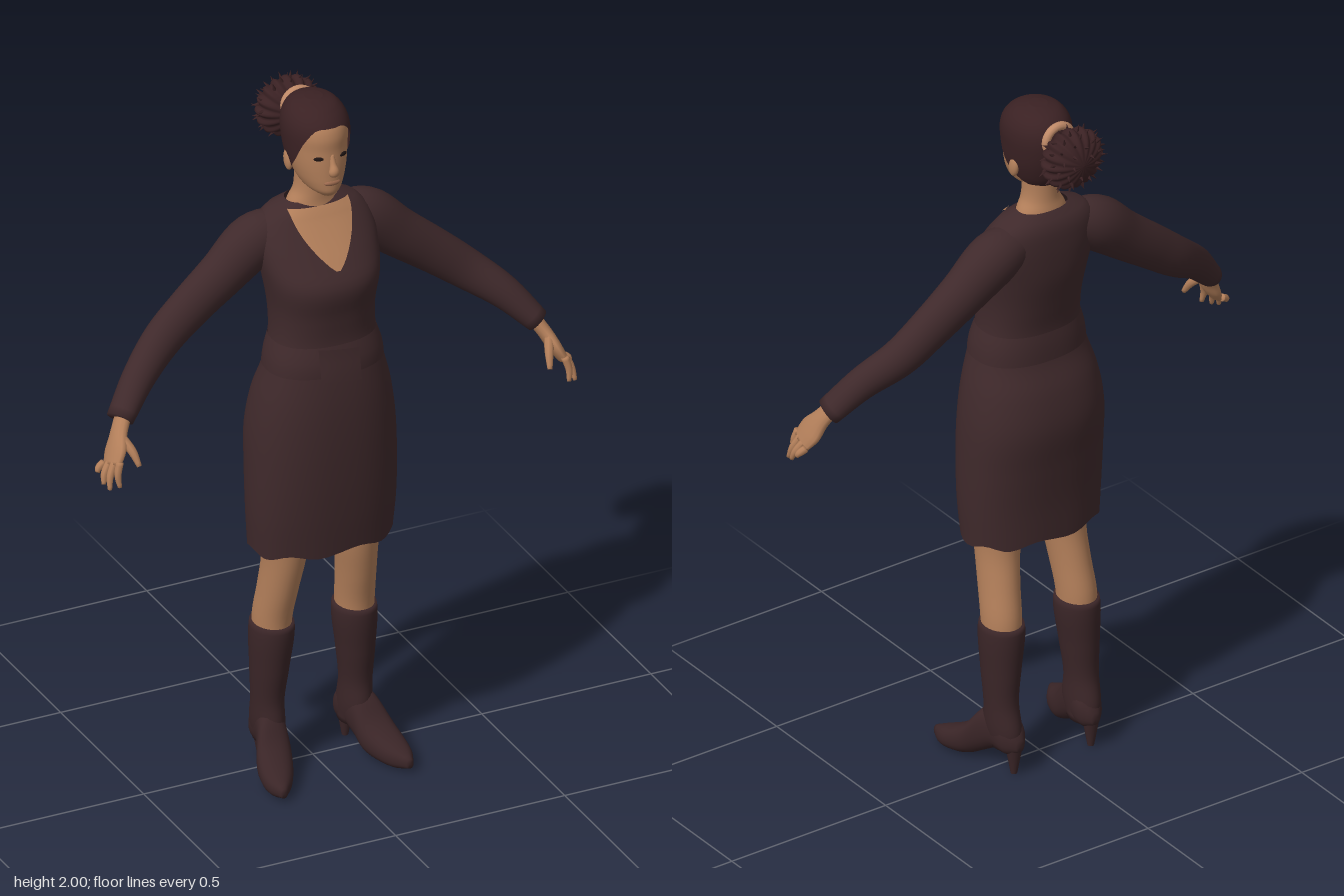
import * as THREE from 'three';

const mat = (name, color, side = THREE.FrontSide) => {
  const m = new THREE.MeshStandardMaterial({ color, side });
  m.name = name;
  return m;
};

// Surface from a point rule f(v, u); u wraps when closed
function grid(rows, cols, f, closed = true) {
  const pos = [], idx = [], n = closed ? cols : cols + 1;
  for (let i = 0; i <= rows; i++)
    for (let j = 0; j < n; j++) pos.push(...f(i / rows, j / cols, i));
  for (let i = 0; i < rows; i++)
    for (let j = 0; j < cols; j++) {
      const k = (j + 1) % n, a = i * n + j, b = i * n + k, c = b + n, d = a + n;
      idx.push(a, b, c, a, c, d);
    }
  const g = new THREE.BufferGeometry();
  g.setAttribute('position', new THREE.Float32BufferAttribute(pos, 3));
  g.setIndex(idx);
  g.computeVertexNormals();
  return g;
}

// Smooth oval column: rows of [y, centre x, half width, front z, back z]
function oval(table, p = 1) {
  const spline = new THREE.CubicInterpolant(
    table.map(r => r[0]), new Float32Array(table.flatMap(r => r.slice(1))), 4);
  const pw = s => Math.sign(s) * Math.abs(s) ** p;
  const at = (y, a, off = 0) => {
    const [cx, hw, zf, zb] = spline.evaluate(y);
    return [cx + (hw + off) * pw(Math.sin(a)), y, (zf + zb) / 2 + ((zf - zb) / 2 + off) * pw(Math.cos(a))];
  };
  // point on the front at a given x
  at.front = (x, y, off) => {
    const s = Math.min(1, Math.abs(x / spline.evaluate(y)[1]));
    return at(y, Math.sign(x) * Math.asin(s ** (1 / p)), off);
  };
  at.centre = y => {
    const [cx, , zf, zb] = spline.evaluate(y);
    return [cx, y, (zf + zb) / 2];
  };
  at.y0 = table[0][0];
  at.y1 = table[table.length - 1][0];
  return at;
}

// Column with closed ends
const column = (at, rows = 24, cols = 28) => grid(rows + 2, cols, (v, u, i) => {
  const t = THREE.MathUtils.clamp((i - 1) / rows, 0, 1), y = THREE.MathUtils.lerp(at.y0, at.y1, t);
  return i === 0 || i === rows + 2 ? at.centre(y) : at(y, u * Math.PI * 2);
});

// Limb along a path: rows of [x, y, z, radius toward z, other radius]
function limb(rows, side = 1, n = 16, cols = 14) {
  const path = new THREE.CatmullRomCurve3(rows.map(r => new THREE.Vector3(r[0] * side, r[1], r[2])), false, 'catmullrom');
  const size = new THREE.CatmullRomCurve3(rows.map(r => new THREE.Vector3(r[3], r[4], 0)), false, 'catmullrom');
  return grid(n + 2, cols, (v, u, i) => {
    const t = THREE.MathUtils.clamp((i - 1) / n, 0, 1), p = path.getPoint(t), r = size.getPoint(t);
    if (i === 0 || i === n + 2) return p.toArray();
    const T = path.getTangent(t), N = new THREE.Vector3(0, 0, 1).addScaledVector(T, -T.z).normalize();
    const B = new THREE.Vector3().crossVectors(T, N), a = u * Math.PI * 2;
    return p.addScaledVector(N, r.x * Math.cos(a)).addScaledVector(B, r.y * Math.sin(a)).toArray();
  });
}

export function createModel() {
  const model = new THREE.Group();
  const cloth = mat('dark brown cloth', 0x3f292b, THREE.DoubleSide);
  const leather = mat('boot leather', 0x3a2527, THREE.DoubleSide);
  const hairMat = mat('dark hair', 0x3a2123, THREE.DoubleSide);
  const skin = mat('skin', 0xb37f5a);
  const lipMat = mat('lips', 0xa06c50);
  const eyeMat = mat('dark eyes', 0x1f1413);
  const tieMat = mat('hair tie', 0xc08a68);
  const add = (name, geo, m) => {
    const mesh = new THREE.Mesh(geo, m);
    mesh.name = name;
    model.add(mesh);
    return mesh;
  };
  const ball = (name, m, p, s) => {
    const b = add(name, new THREE.SphereGeometry(1, 16, 12), m);
    b.position.set(...p);
    b.scale.set(...s);
    return b;
  };

  // Dress with a slightly wavy open hem
  const body = oval([
    [0.69, 0, 0.203, 0.165, -0.078], [0.8, 0, 0.21, 0.177, -0.083], [0.92, 0, 0.211, 0.186, -0.095],
    [1.05, 0, 0.206, 0.19, -0.108], [1.15, 0, 0.19, 0.187, -0.092], [1.24, 0, 0.165, 0.177, -0.06],
    [1.32, 0, 0.147, 0.163, -0.055], [1.4, 0, 0.145, 0.168, -0.068], [1.5, 0, 0.16, 0.178, -0.088],
    [1.55, 0, 0.168, 0.145, -0.092], [1.61, 0, 0.168, 0.1, -0.092], [1.66, 0, 0.145, 0.064, -0.085],
    [1.685, 0, 0.108, 0.048, -0.07], [1.695, 0, 0.075, 0.036, -0.058]], 0.87);
  add('dress', grid(56, 48, (v, u) => {
    const a = u * Math.PI * 2, p = body(body.y0 + (body.y1 - body.y0) * v, a);
    p[1] += 0.007 * Math.sin(7 * a) * (1 - v) ** 12;
    return p;
  }), cloth);
  add('waistBand', grid(4, 48, (v, u) => body(1.235 + 0.085 * v, u * Math.PI * 2, 0.001 + 0.005 * Math.sin(Math.PI * v))), cloth);
  add('waistFlap', grid(5, 8, (v, u) => body.front(-0.06 + 0.11 * u, 1.215 + 0.09 * v + 0.015 * (1 - u), 0.011), false), cloth);

  // Skin in the V neckline, laid on the dress front
  add('neckline', grid(12, 14, (v, u) => {
    const w = 0.006 + 0.08 * Math.sin(v * Math.PI / 2) ** 0.85;
    return body.front((u * 2 - 1) * w, 1.54 + 0.147 * v, 0.005);
  }, false), skin);
  add('neck', column(oval([
    [1.63, 0, 0.085, 0.06, -0.065], [1.69, 0, 0.07, 0.046, -0.058],
    [1.72, 0, 0.054, 0.045, -0.052], [1.8, 0, 0.049, 0.045, -0.05]])), skin);

  // Head
  const head = oval([
    [1.745, 0, 0.022, 0.108, 0.04], [1.757, 0, 0.042, 0.12, -0.02], [1.78, 0, 0.058, 0.124, -0.052],
    [1.81, 0, 0.069, 0.124, -0.068], [1.84, 0, 0.076, 0.123, -0.08], [1.88, 0, 0.081, 0.12, -0.089],
    [1.92, 0, 0.083, 0.119, -0.092], [1.95, 0, 0.077, 0.107, -0.086], [1.975, 0, 0.061, 0.081, -0.068],
    [1.988, 0, 0.042, 0.054, -0.044], [1.994, 0, 0.018, 0.025, -0.015]]);
  add('head', column(head, 40, 36), skin);
  add('nose', limb([
    [0, 1.872, 0.113, 0.008, 0.007], [0, 1.847, 0.123, 0.01, 0.009],
    [0, 1.827, 0.13, 0.014, 0.015], [0, 1.815, 0.12, 0.008, 0.011]]), skin);
  ball('lips', lipMat, [0, 1.79, 0.118], [0.024, 0.009, 0.009]);
  for (const s of [1, -1]) {
    ball('eye', eyeMat, head.front(0.036 * s, 1.864, 0), [0.014, 0.006, 0.004]).rotation.y = 0.4 * s;
    ball('ear', skin, [0.077 * s, 1.825, 0.008], [0.011, 0.03, 0.018]).rotation.x = -0.2;
  }

  // Hair cap, its lower edge following the hairline from brow to nape
  const hairline = new THREE.CubicInterpolant([0, 0.55, 0.85, 1.15, 1.4, 1.75, 2.2, 3.15],
    new Float32Array([1.95, 1.943, 1.91, 1.86, 1.83, 1.8, 1.775, 1.77]), 1);
  add('hair', grid(25, 48, (v, u, i) => {
    if (i === 25) return [0, 2, 0.005];
    const t = i / 24, a = u * Math.PI * 2, low = hairline.evaluate(Math.min(a, Math.PI * 2 - a))[0];
    const p = head(low + (1.994 - low) * Math.sin(t * Math.PI / 2), a, 0.006);
    p[1] += 0.005 * t;
    return p;
  }), hairMat);

  // Bun of ridged strands with loose tips
  const tie = add('hairTie', new THREE.TorusGeometry(0.04, 0.012, 10, 28), tieMat);
  tie.position.set(0, 1.93, -0.088);
  add('bun', grid(16, 96, (v, u) => {
    const a = u * Math.PI * 2, t = v * Math.PI, r = Math.sin(t) * (1 + 0.07 * Math.cos(16 * a));
    return [-0.005 + 0.088 * r * Math.sin(a), 1.897 + 0.083 * r * Math.cos(a), -0.142 - 0.056 * Math.cos(Math.PI - t)];
  }), hairMat);
  const up = new THREE.Vector3(0, 1, 0);
  for (let i = 0; i < 54; i++) {
    const c = 0.35 - 1.3 * (i + 0.5) / 54, a = i * 2.4, r = Math.sqrt(1 - c * c);
    const d = new THREE.Vector3(r * Math.sin(a), r * Math.cos(a), c);
    const tip = add('strandTip', new THREE.ConeGeometry(0.01, 0.04, 5), hairMat);
    tip.position.set(-0.005 + 0.086 * d.x, 1.897 + 0.08 * d.y, -0.142 + 0.055 * d.z);
    d.x += 0.35 * Math.sin(i * 5.1);
    d.y += 0.35 * Math.cos(i * 3.7);
    tip.quaternion.setFromUnitVectors(up, d.normalize());
  }

  const tips = [[0.664, 1.063, 0.192], [0.688, 1.055, 0.18], [0.695, 1.062, 0.157], [0.699, 1.085, 0.128]];
  for (const s of [1, -1]) {
    // Sleeve
    add('sleeve', limb([
      [0.08, 1.615, -0.018, 0.055, 0.055], [0.165, 1.585, -0.022, 0.068, 0.076], [0.26, 1.51, -0.017, 0.058, 0.068],
      [0.36, 1.435, -0.01, 0.05, 0.062], [0.45, 1.365, 0.005, 0.047, 0.056], [0.54, 1.295, 0.05, 0.043, 0.046],
      [0.617, 1.212, 0.096, 0.042, 0.034]], s, 32, 22), cloth);

    // Hand: palm, four fingers and thumb
    add('palm', limb([
      [0.6, 1.23, 0.088, 0.026, 0.02], [0.628, 1.185, 0.113, 0.03, 0.019],
      [0.648, 1.145, 0.134, 0.043, 0.018], [0.667, 1.11, 0.15, 0.037, 0.013]], s), skin);
    tips.forEach((t, k) => {
      const b = [0.658 + 0.006 * k, 1.13 - 0.008 * k, 0.178 - 0.02 * k];
      const m = [0, 1, 2].map(i => (b[i] + t[i]) / 2 + (i === 0 ? 0.006 : 0));
      add('finger', limb([[...b, 0.011, 0.011], [...m, 0.01, 0.01], [...t, 0.006, 0.006]], s, 8, 8), skin);
    });
    add('thumb', limb([
      [0.632, 1.18, 0.135, 0.015, 0.013], [0.616, 1.148, 0.17, 0.012, 0.012],
      [0.607, 1.113, 0.193, 0.007, 0.007]], s, 8, 8), skin);

    // Leg
    add('leg', column(oval([
      [0.38, 0.122 * s, 0.05, 0.06, -0.058], [0.45, 0.122 * s, 0.052, 0.065, -0.06],
      [0.55, 0.115 * s, 0.053, 0.09, -0.042], [0.65, 0.107 * s, 0.058, 0.113, -0.027],
      [0.76, 0.105 * s, 0.069, 0.128, -0.032], [0.95, 0.105 * s, 0.082, 0.13, -0.06]])), skin);

    // Boot: shaft, pointed foot laid along z, thin heel
    add('bootShaft', column(oval([
      [0.07, 0.125 * s, 0.036, 0.03, -0.074], [0.12, 0.128 * s, 0.043, 0.052, -0.08],
      [0.2, 0.13 * s, 0.044, 0.045, -0.062], [0.3, 0.127 * s, 0.052, 0.058, -0.064],
      [0.425, 0.122 * s, 0.06, 0.07, -0.068], [0.438, 0.122 * s, 0.058, 0.068, -0.066]])), leather);
    const foot = column(oval([
      [-0.086, 0.123 * s, 0.014, -0.075, -0.11], [-0.06, 0.125 * s, 0.036, -0.058, -0.15],
      [0, 0.13 * s, 0.042, -0.053, -0.18], [0.04, 0.14 * s, 0.045, -0.03, -0.165],
      [0.08, 0.153 * s, 0.052, -0.008, -0.112], [0.13, 0.168 * s, 0.047, 0, -0.076],
      [0.17, 0.178 * s, 0.034, 0, -0.058], [0.208, 0.186 * s, 0.01, -0.012, -0.04]], 0.87), 28, 24);
    add('bootFoot', foot.rotateX(Math.PI / 2), leather);
    const heel = add('bootHeel', new THREE.CylinderGeometry(0.024, 0.009, 0.085, 14), leather);
    heel.position.set(0.125 * s, 0.0425, -0.06);
  }
  return model;
}
